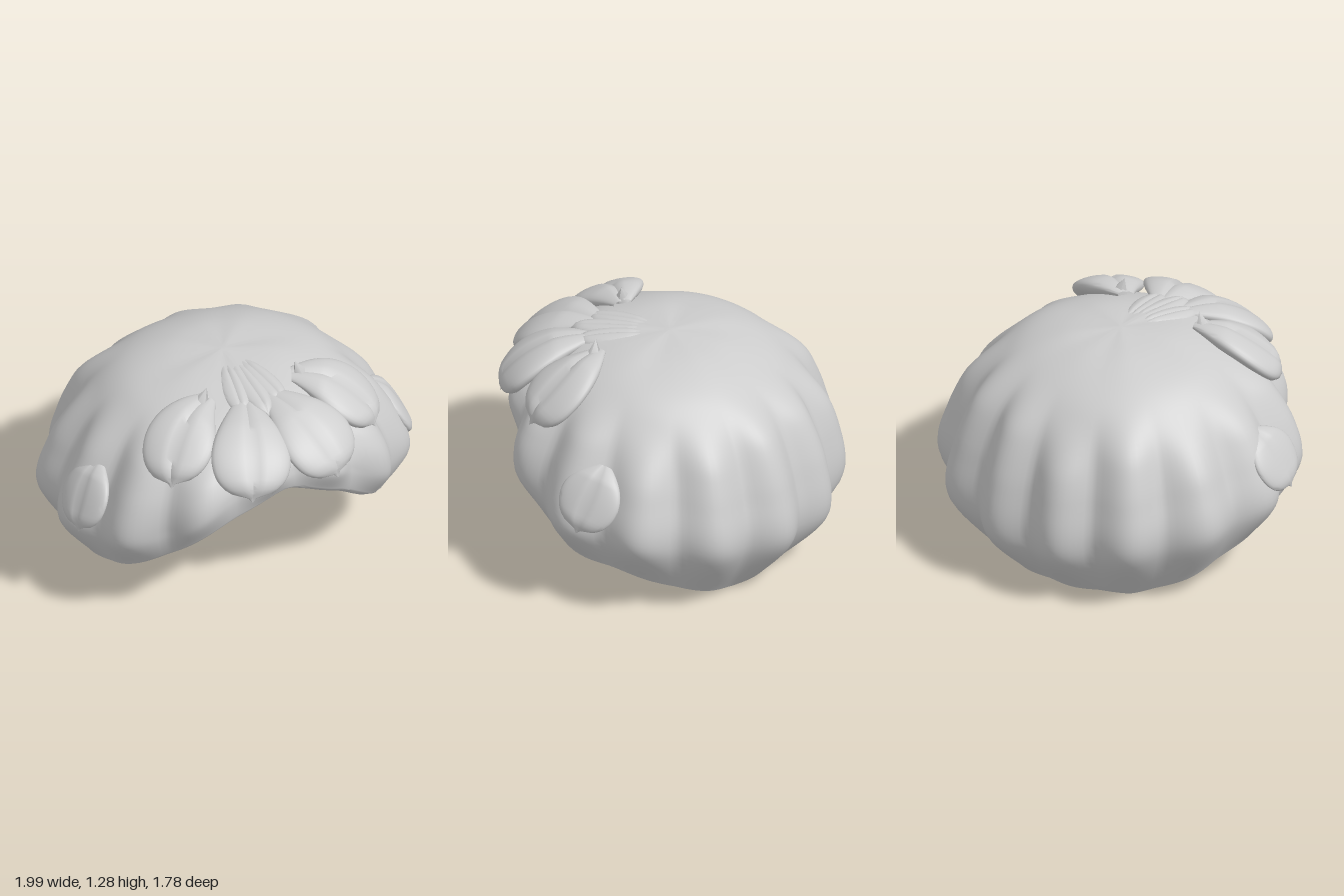
import * as THREE from 'three';
import { toCreasedNormals } from 'three/addons/utils/BufferGeometryUtils.js';
import { ParametricGeometry } from 'three/addons/geometries/ParametricGeometry.js';

const LOBES = 14;
const V = (x, y, z) => new THREE.Vector3(x, y, z);

// Crown-to-rim profiles [radius, height], every 22.5 degrees from front to back
const PROFILES = [
  [[0, 1.23], [0.25, 1.22], [0.45, 1.17], [0.62, 1.06], [0.72, 0.97], [0.76, 0.88], [0.73, 0.79]],
  [[0, 1.23], [0.28, 1.21], [0.5, 1.15], [0.68, 1.03], [0.79, 0.92], [0.83, 0.82], [0.79, 0.69]],
  [[0, 1.23], [0.3, 1.21], [0.55, 1.12], [0.75, 0.97], [0.87, 0.79], [0.89, 0.61], [0.82, 0.47]],
  [[0, 1.23], [0.3, 1.21], [0.55, 1.12], [0.75, 0.96], [0.89, 0.74], [0.95, 0.51], [0.83, 0.29]],
  [[0, 1.23], [0.3, 1.2], [0.55, 1.12], [0.75, 0.95], [0.89, 0.71], [0.95, 0.46], [0.79, 0.2]],
  [[0, 1.23], [0.3, 1.2], [0.55, 1.11], [0.76, 0.93], [0.89, 0.68], [0.94, 0.41], [0.75, 0.09]],
  [[0, 1.23], [0.3, 1.2], [0.56, 1.09], [0.76, 0.9], [0.88, 0.64], [0.91, 0.35], [0.66, 0]],
  [[0, 1.23], [0.3, 1.19], [0.56, 1.07], [0.75, 0.88], [0.86, 0.62], [0.88, 0.31], [0.64, 0]],
  [[0, 1.23], [0.3, 1.19], [0.56, 1.06], [0.74, 0.87], [0.85, 0.6], [0.86, 0.28], [0.63, 0]],
];

// Catmull-Rom blend of four neighbours
function blend(get, s) {
  const i = Math.floor(s), f = s - i;
  const [a, b, c, d] = [get(i - 1), get(i), get(i + 1), get(i + 2)];
  return b + 0.5 * f * (c - a + f * (2 * a - 5 * b + 4 * c - d + f * (3 * (b - c) + d - a)));
}

// Smooth radius (k = 0) or height (k = 1) at an angle and a distance t down the profile
function profile(phi, t, k) {
  const along = (p) => blend((i) => p[THREE.MathUtils.clamp(i, 0, 6)][k], t * 6);
  return blend((i) => {
    const j = ((i % 16) + 16) % 16;
    return along(PROFILES[j > 8 ? 16 - j : j]);
  }, phi / (Math.PI / 8));
}

// Radius factor for raised locks, each starting at its own height
function lockScale(phi, t, relief) {
  const a = (phi - 3.0) * LOBES / (2 * Math.PI);
  const id = ((Math.floor(a + 0.5) % LOBES) + LOBES) % LOBES;
  const start = 0.28 + 0.16 * ((id * 0.618) % 1);
  const ridge = Math.abs(Math.cos(Math.PI * a));
  const shape = 0.5 + relief * (0.5 * (ridge + ridge * ridge) - 0.5);
  const bump = 0.09 * shape * THREE.MathUtils.smoothstep(t, start, start + 0.22);
  const drop = 0.055 * THREE.MathUtils.smoothstep(t, 0.28, 0.62);
  return 1 + (bump - drop) * (1 - 0.75 * THREE.MathUtils.smoothstep(t, 0.8, 1));
}

// Outer hair, rim and lining as one closed sweep
function hairGeometry() {
  const g = new ParametricGeometry((u, v, out) => {
    const phi = ((1 - u) * 2 * Math.PI) % (2 * Math.PI);
    const inside = v > 0.5;
    const t = inside ? Math.min(1, (1 - v) / 0.48) : Math.min(1, v / 0.5);
    let r = profile(phi, t, 0) * lockScale(phi, t, inside ? 0.6 : 1), y = profile(phi, t, 1);
    if (inside) {
      r = Math.max(0, r - 0.04 * Math.min(1, t * 4));
      const rimTilt = 0.015 - 0.045 * Math.max(0, Math.cos(phi));
      y += THREE.MathUtils.lerp(-0.04, rimTilt, t * t);
    }
    out.set(r * Math.sin(phi), Math.max(0, y), r * Math.cos(phi));
  }, 168, 100);
  return toCreasedNormals(g, 0.7);
}

// Domed petal-shaped lock along a bent spine, with a pointed tip
function petalGeometry(base, bend, tip, halfWidth, height) {
  const spine = new THREE.QuadraticBezierCurve3(base, bend, tip);
  const g = new ParametricGeometry((u, v, out) => {
    const a = -u * 2 * Math.PI;
    const p = spine.getPoint(v), tangent = spine.getTangent(v);
    const side = V().crossVectors(tangent, V(p.x, p.y - 0.5, p.z)).normalize();
    const up = V().crossVectors(side, tangent).normalize();
    const w = v < 0.6
      ? 0.25 + 0.75 * Math.sin((v / 0.6) * Math.PI / 2)
      : Math.max(0, 1 - ((v - 0.6) / 0.36) ** 2.6) ** 0.5 * 0.93 + 0.07 * (1 - v) / 0.4;
    const c = Math.cos(a), s = Math.sin(a);
    const crease = s > 0 ? 1 - 0.3 * Math.exp(-c * c * 60) : 1.3;
    out.copy(p).addScaledVector(side, c * w * halfWidth)
      .addScaledVector(up, s * height * crease * Math.min(1, w * 1.3));
  }, 32, 24);
  return toCreasedNormals(g, 0.8);
}

export function createModel() {
  const group = new THREE.Group();
  group.name = 'hairpiece';
  const grey = new THREE.MeshStandardMaterial({ color: 0xcccccc, side: THREE.DoubleSide });
  grey.name = 'light grey';
  const add = (name, geometry) => {
    const mesh = new THREE.Mesh(geometry, grey);
    mesh.name = name;
    group.add(mesh);
    return mesh;
  };

  add('hairCap', hairGeometry());

  // Mirrored fringe petals, ear curls and upturned tufts
  for (const [label, s] of [['left', 1], ['right', -1]]) {
    add(label + 'FrontPetal', petalGeometry(
      V(s * 0.07, 1.17, 0.4), V(s * 0.2, 1.13, 0.74), V(s * 0.25, 0.87, 0.85), 0.21, 0.055));
    add(label + 'SidePetal', petalGeometry(
      V(s * 0.24, 1.19, 0.32), V(s * 0.5, 1.17, 0.43), V(s * 0.6, 0.91, 0.6), 0.19, 0.055));
    add(label + 'EarCurl', petalGeometry(
      V(s * 0.79, 0.84, 0.14), V(s * 0.89, 0.77, 0.17), V(s * 0.97, 0.52, 0.25), 0.17, 0.04));
    const tuft = add(label + 'Tuft', new THREE.ConeGeometry(0.06, 0.13, 5));
    tuft.position.set(s * 0.28, 1.215, 0.33);
    tuft.rotation.z = s * 0.35;
  }

  // Folded locks gathered at the parting
  for (const [i, x] of [-0.12, 0, 0.12].entries()) {
    add('partingLock' + (i + 1), petalGeometry(
      V(x * 0.3, 1.2, 0.06), V(x * 0.7, 1.21, 0.3), V(x, 1.15, i === 1 ? 0.55 : 0.48), 0.07, 0.03));
  }
  return group;
}
